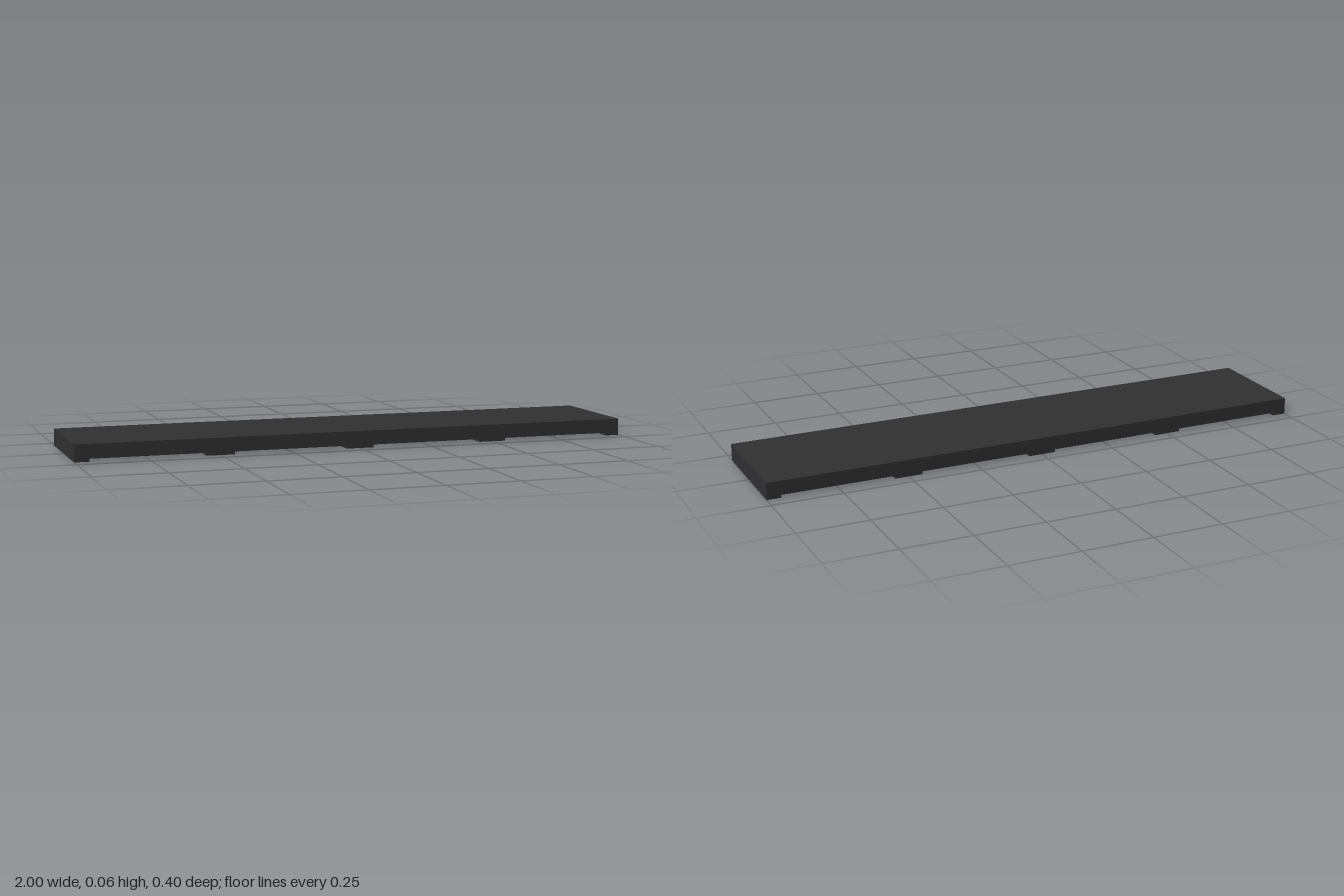
import * as THREE from 'three';

const material = new THREE.MeshStandardMaterial({ color: 0x303032, flatShading: true });

// Flat plate lying in x/z, from y = bottom upward; outlines and holes are [x, z] points.
function plate(name, outline, holes, bottom, height) {
  const toPoints = (list) => list.map(([x, z]) => new THREE.Vector2(x, z));
  const shape = new THREE.Shape(toPoints(outline));
  for (const hole of holes) shape.holes.push(new THREE.Path(toPoints(hole)));
  const geometry = new THREE.ExtrudeGeometry(shape, { depth: height, bevelEnabled: false });
  geometry.rotateX(Math.PI / 2).translate(0, bottom + height, 0);
  const mesh = new THREE.Mesh(geometry, material);
  mesh.name = name;
  return mesh;
}

const rect = (x0, x1, z0, z1) => [[x0, z0], [x1, z0], [x1, z1], [x0, z1]];

// Groove outlines relative to the middle of one tread cell
const bracket = [
  [0.03, 0.06], [0.09, 0.06], [0.12, 0.035], [0.12, -0.035], [0.09, -0.06], [0.03, -0.06],
  [0.03, -0.045], [0.08, -0.045], [0.1, -0.03], [0.1, 0.03], [0.08, 0.045], [0.03, 0.045],
];
const diagonal = [[0.135, 0.055], [0.185, 0.083], [0.177, 0.092], [0.127, 0.064]];

export function createModel() {
  const group = new THREE.Group();

  // Solid plank
  const slab = new THREE.Mesh(new THREE.BoxGeometry(2, 0.045, 0.4), material);
  slab.name = 'slab';
  slab.position.y = 0.0375;
  group.add(slab);

  // Underside tread with engraved grooves, four by two cells
  const grooves = [];
  for (const cx of [-0.75, -0.25, 0.25, 0.75]) {
    for (const cz of [-0.1, 0.1]) {
      const place = (points, sx, sz) => points.map(([x, z]) => [cx + sx * x, cz + sz * z]);
      for (const sx of [-1, 1]) {
        grooves.push(place(bracket, sx, 1));
        for (const sz of [-1, 1]) grooves.push(place(diagonal, sx, sz));
      }
    }
  }
  group.add(plate('undersideTread', rect(-1, 1, -0.2, 0.2), grooves, 0.01, 0.005));

  // Cross ribs the plank rests on, half width at both ends
  for (let i = -2; i <= 2; i++) {
    const x = i * 0.5;
    const slots = [];
    if (Math.abs(i) < 2) {
      for (const z of [-0.1, 0.1]) slots.push(rect(x - 0.02, x + 0.02, z - 0.055, z + 0.055));
    }
    const outline = rect(Math.max(-1, x - 0.05), Math.min(1, x + 0.05), -0.2, 0.2);
    group.add(plate('supportRib', outline, slots, 0, 0.01));
  }
  return group;
}
